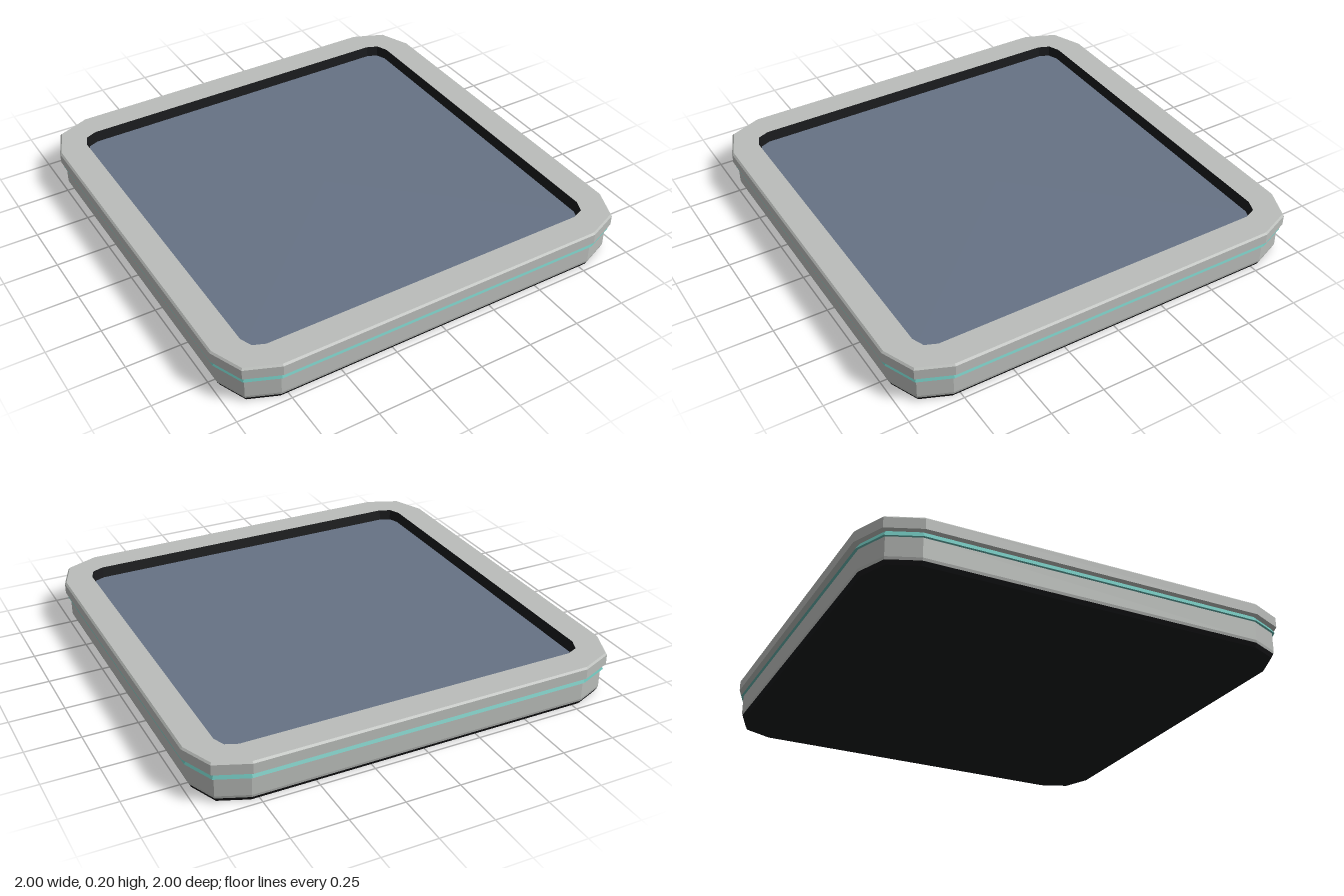
import * as THREE from 'three';

const CORNER = 0.785; // centre of every rounded corner, shared by all outlines

// Square outline with two-segment rounded corners, as 12 [x, z] points
function outline(half) {
  const r = half - CORNER, pts = [];
  for (let q = 0; q < 4; q++) {
    const mid = (q + 0.5) * Math.PI / 2;
    const cx = Math.sign(Math.cos(mid)) * CORNER, cz = Math.sign(Math.sin(mid)) * CORNER;
    for (let i = 0; i < 3; i++) {
      const a = q * Math.PI / 2 + i * Math.PI / 4;
      pts.push([cx + r * Math.cos(a), cz + r * Math.sin(a)]);
    }
  }
  return pts;
}

// Skin through [half width, height] levels, optionally capped at start or end
function skin(name, levels, material, capStart = false, capEnd = false) {
  const pos = [];
  const rings = levels.map(([half, y]) => outline(half).map(([x, z]) => [x, y, z]));
  const tri = (a, b, c) => pos.push(...a, ...b, ...c);
  for (let l = 0; l < rings.length - 1; l++) {
    for (let i = 0; i < 12; i++) {
      const j = (i + 1) % 12, lo = rings[l], hi = rings[l + 1];
      tri(lo[i], hi[i], hi[j]);
      tri(lo[i], hi[j], lo[j]);
    }
  }
  const cap = (ring, up) => {
    const c = [0, ring[0][1], 0];
    for (let i = 0; i < 12; i++) {
      const j = (i + 1) % 12;
      if (up) tri(c, ring[j], ring[i]);
      else tri(c, ring[i], ring[j]);
    }
  };
  if (capStart) cap(rings[0], false);
  if (capEnd) cap(rings[rings.length - 1], true);
  const geo = new THREE.BufferGeometry();
  geo.setAttribute('position', new THREE.Float32BufferAttribute(pos, 3));
  geo.computeVertexNormals();
  const mesh = new THREE.Mesh(geo, material);
  mesh.name = name;
  return mesh;
}

function paint(name, color) {
  const m = new THREE.MeshStandardMaterial({ color });
  m.name = name;
  return m;
}

export function createModel() {
  const grey = paint('light grey', 0xbabdba);
  const teal = paint('teal', 0x68b8b0);
  const black = paint('black', 0x17181a);
  const slate = paint('slate blue', 0x667285);

  const group = new THREE.Group();
  group.name = 'squarePanel';
  group.add(
    // black underside with a small bevel
    skin('bottomPlate', [[0.965, 0], [0.975, 0.018]], black, true),
    // main side wall
    skin('body', [[0.975, 0.018], [0.978, 0.03], [0.978, 0.118]], grey),
    // flared accent strip under the rim
    skin('accentBand', [[0.95, 0.118], [0.99, 0.118], [0.972, 0.145]], teal),
    // overhanging rim: underside, side, bevel and flat top
    skin('rim', [[0.95, 0.145], [1, 0.145], [1, 0.192], [0.992, 0.2], [0.862, 0.2]], grey),
    // recessed wall inside the rim
    skin('recessWall', [[0.862, 0.2], [0.852, 0.15]], black),
    // recessed surface
    skin('topPanel', [[0.852, 0.15]], slate, false, true),
  );
  return group;
}
